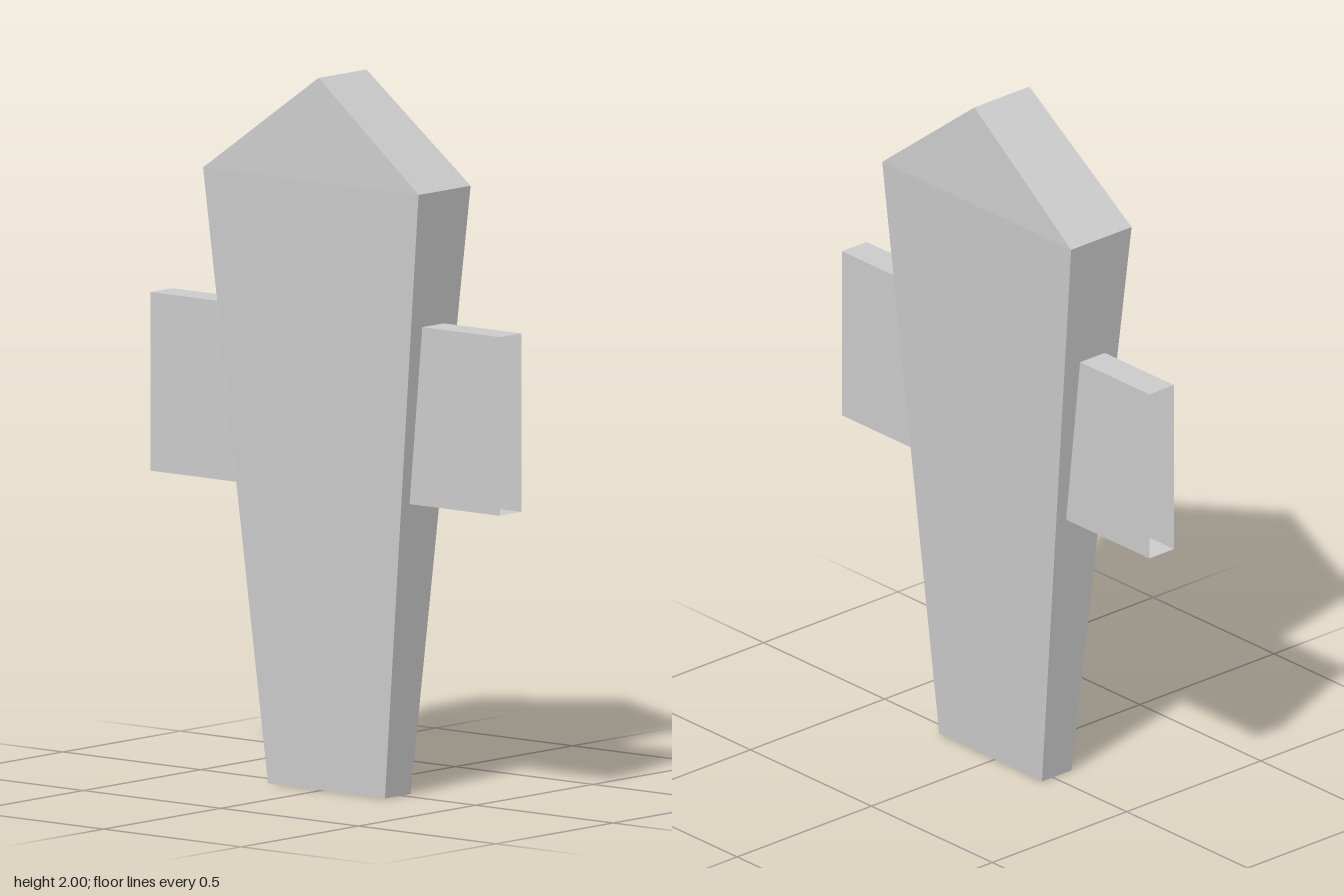
import * as THREE from 'three';

const material = new THREE.MeshStandardMaterial({
  color: 0xcccccc, flatShading: true, side: THREE.DoubleSide,
});

// Tapered pointed slab, open at the bottom
function bladeGeometry() {
  // Outline counter-clockwise seen from +x: [y, z, right x, left x]
  const outline = [
    [0, 0.23, -0.07, 0.04],
    [0, -0.195, -0.07, 0.04],
    [1.71, -0.393, -0.115, 0.11],
    [2, 0.018, -0.105, 0.1],
    [1.71, 0.388, -0.112, 0.11],
  ];
  const near = outline.map(([y, z, , x]) => [x, y, z]);
  const far = outline.map(([y, z, x]) => [x, y, z]);
  const positions = [];
  const tri = (a, b, c) => positions.push(...a, ...b, ...c);

  // Two broad faces
  for (const [a, b, c] of [[0, 1, 2], [0, 2, 4], [2, 3, 4]]) {
    tri(near[a], near[b], near[c]);
    tri(far[a], far[c], far[b]);
  }
  // Narrow rim, skipping the bottom edge
  for (let i = 1; i < 5; i++) {
    const j = (i + 1) % 5;
    tri(near[i], far[i], far[j]);
    tri(near[i], far[j], near[j]);
  }
  const geometry = new THREE.BufferGeometry();
  geometry.setAttribute('position', new THREE.Float32BufferAttribute(positions, 3));
  geometry.computeVertexNormals();
  return geometry;
}

// Rectangular sleeve running along z, open at both ends
function crossbarGeometry() {
  const geometry = new THREE.BoxGeometry(0.092, 0.5, 1.27);
  geometry.setIndex(Array.from(geometry.index.array).slice(0, 24)); // drop the z ends
  geometry.clearGroups();
  geometry.translate(-0.009, 1.08, 0);
  return geometry;
}

export function createModel() {
  const model = new THREE.Group();
  const add = (name, geometry) => {
    const mesh = new THREE.Mesh(geometry, material);
    mesh.name = name;
    model.add(mesh);
  };
  add('blade', bladeGeometry());
  add('crossbar', crossbarGeometry());
  return model;
}
